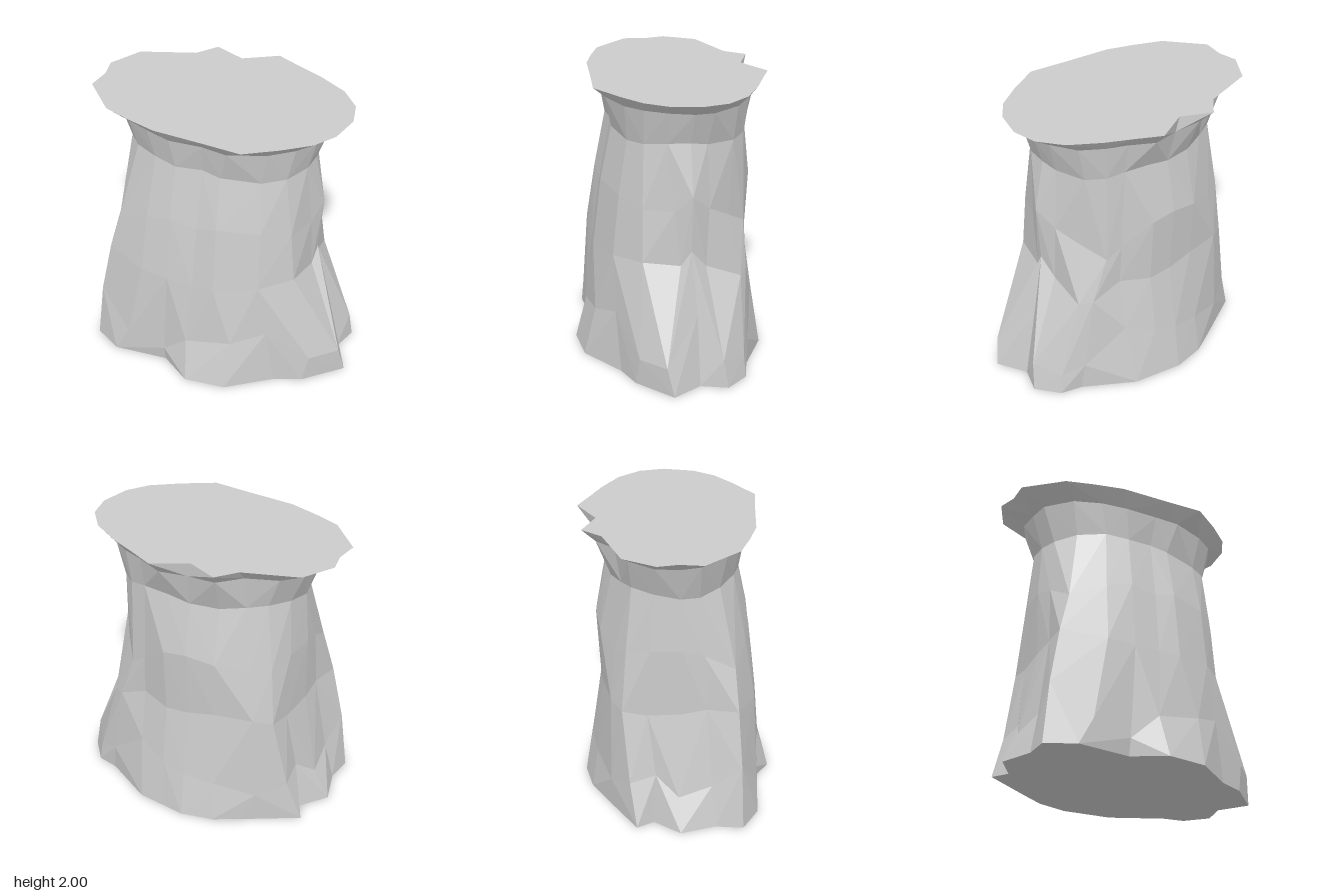
import * as THREE from 'three';

// Outlines as [x, z], running from the front round by +x to the back and -x
const base = [
  [-0.11, 0.67], [0.18, 0.66], [0.5, 0.46], [0.69, 0.4], [0.95, 0.19], [0.84, -0.02], [0.91, -0.2],
  [0.79, -0.36], [0.64, -0.4], [0.3, -0.61], [0.12, -0.64], [-0.05, -0.67], [-0.28, -0.63], [-0.46, -0.54],
  [-0.84, -0.34], [-0.78, -0.22], [-0.93, -0.045], [-0.87, 0.2], [-0.9, 0.39], [-0.71, 0.515], [-0.32, 0.51],
];
const waist = [
  [-0.09, 0.54], [0.07, 0.56], [0.37, 0.48], [0.58, 0.32], [0.64, 0.07], [0.66, 0], [0.63, -0.11],
  [0.62, -0.36], [0.54, -0.42], [0.33, -0.45], [0.12, -0.53], [-0.05, -0.54], [-0.25, -0.53], [-0.52, -0.49],
  [-0.64, -0.42], [-0.67, -0.25], [-0.71, -0.02], [-0.72, 0.15], [-0.77, 0.36], [-0.48, 0.5], [-0.28, 0.53],
];
const neck = [
  [-0.05, 0.4], [0.08, 0.42], [0.35, 0.37], [0.5, 0.29], [0.6, 0.15], [0.62, 0], [0.6, -0.12],
  [0.52, -0.32], [0.42, -0.42], [0.3, -0.46], [0.12, -0.48], [-0.05, -0.49], [-0.25, -0.46], [-0.42, -0.4],
  [-0.55, -0.34], [-0.65, -0.2], [-0.69, -0.03], [-0.67, 0.1], [-0.57, 0.24], [-0.4, 0.35], [-0.24, 0.4],
];
const rim = [
  [0, 0.54], [0.27, 0.575], [0.5, 0.45], [0.68, 0.33], [0.79, 0.19], [0.85, -0.02], [0.82, -0.2],
  [0.7, -0.36], [0.5, -0.49], [0.32, -0.58], [0.15, -0.67], [-0.09, -0.55], [-0.3, -0.65], [-0.42, -0.52],
  [-0.8, -0.41], [-0.94, -0.2], [-0.92, -0.06], [-0.95, 0.1], [-0.74, 0.35], [-0.55, 0.43], [-0.35, 0.5],
];
const N = base.length;

// Corners that break the even rings: column, x, y, z
const rootCorners = [
  [0, -0.13, 0.3, 0.585], [1, 0.2, 0.36, 0.58], [2, 0.43, 0.43, 0.48], [3, 0.73, 0.2, 0.38],
  [4, 0.91, 0.2, 0.23], [5, 0.75, 0.5, -0.02], [6, 0.89, 0.2, -0.17], [7, 0.77, 0.15, -0.35],
  [8, 0.62, 0.2, -0.42], [9, 0.33, 0.45, -0.52], [13, -0.55, 0.22, -0.5], [14, -0.74, 0.3, -0.38],
  [15, -0.73, 0.35, -0.2], [16, -0.82, 0.22, -0.05], [18, -0.85, 0.44, 0.38], [19, -0.6, 0.2, 0.52],
  [20, -0.32, 0.12, 0.53],
];
const waistCorners = [[5, 0.66, 0.93, 0], [7, 0.62, 0.7, -0.36], [8, 0.54, 0.72, -0.42]];
const chestCorners = [
  [5, 0.69, 1.33, 0], [6, 0.63, 1.22, -0.13], [7, 0.53, 1.12, -0.29], [8, 0.43, 1.03, -0.43],
  [9, 0.32, 1.1, -0.46], [18, -0.69, 1.13, 0.34],
];

// One ring between two outlines, with a gentle unevenness in height and some corners moved
function ring(a, b, t, y, wobble = 0, corners = [], scale = 1) {
  const points = a.map(([x, z], i) => new THREE.Vector3(
    THREE.MathUtils.lerp(x, b[i][0], t) * scale,
    y + wobble * Math.sin(i * 1.3 + y * 5),
    THREE.MathUtils.lerp(z, b[i][1], t) * scale,
  ));
  for (const [i, ...position] of corners) points[i].set(...position);
  return points;
}

// Flat-shaded triangles
function facetedMesh(points, name, material) {
  const geometry = new THREE.BufferGeometry().setFromPoints(points);
  geometry.computeVertexNormals();
  const mesh = new THREE.Mesh(geometry, material);
  mesh.name = name;
  return mesh;
}

// Quad strips joining successive rings, each quad split so that it bulges outward
function skin(rings) {
  const points = [];
  for (let r = 0; r + 1 < rings.length; r++) {
    for (let i = 0; i < N; i++) {
      const j = (i + 1) % N;
      const [a, b, c, d] = [rings[r][i], rings[r][j], rings[r + 1][j], rings[r + 1][i]];
      const plane = new THREE.Plane().setFromCoplanarPoints(a, b, d);
      if (plane.distanceToPoint(c) > 0) points.push(a, b, c, a, c, d);
      else points.push(a, b, d, b, c, d);
    }
  }
  return points;
}

// Fan from the middle of a ring, facing up or down
function cap(outline, up) {
  const centre = new THREE.Vector3(0, outline[0].y, 0);
  return outline.flatMap((p, i) => {
    const q = outline[(i + 1) % N];
    return up ? [centre, p, q] : [centre, q, p];
  });
}

export function createModel() {
  const model = new THREE.Group();
  model.name = 'rockPillar';
  const stone = new THREE.MeshStandardMaterial({ color: 0xcccccc, flatShading: true });

  const foot = ring(base, base, 0, 0);
  const roots = ring(base, waist, 0.42, 0.33, 0.04, rootCorners);
  const middle = ring(waist, waist, 0, 0.82, 0.03, waistCorners);
  const chest = ring(waist, neck, 0.5, 1.25, 0.04, chestCorners, 1.02);
  const throat = ring(neck, neck, 0, 1.67, 0.02);
  const lip = ring(neck, rim, 0.33, 1.905, 0.01);
  const edge = ring(rim, rim, 0, 2);

  // Bulge at the back
  for (const i of [10, 11, 12]) {
    chest[i].z -= 0.04;
    lip[i].z -= 0.035;
  }

  model.add(
    facetedMesh(skin([foot, roots, middle, chest, throat]), 'trunk', stone),
    facetedMesh(skin([throat, lip, edge]), 'flaredLip', stone),
    facetedMesh(cap(edge, true), 'topFace', stone),
    facetedMesh(cap(foot, false), 'underside', stone),
  );
  return model;
}
